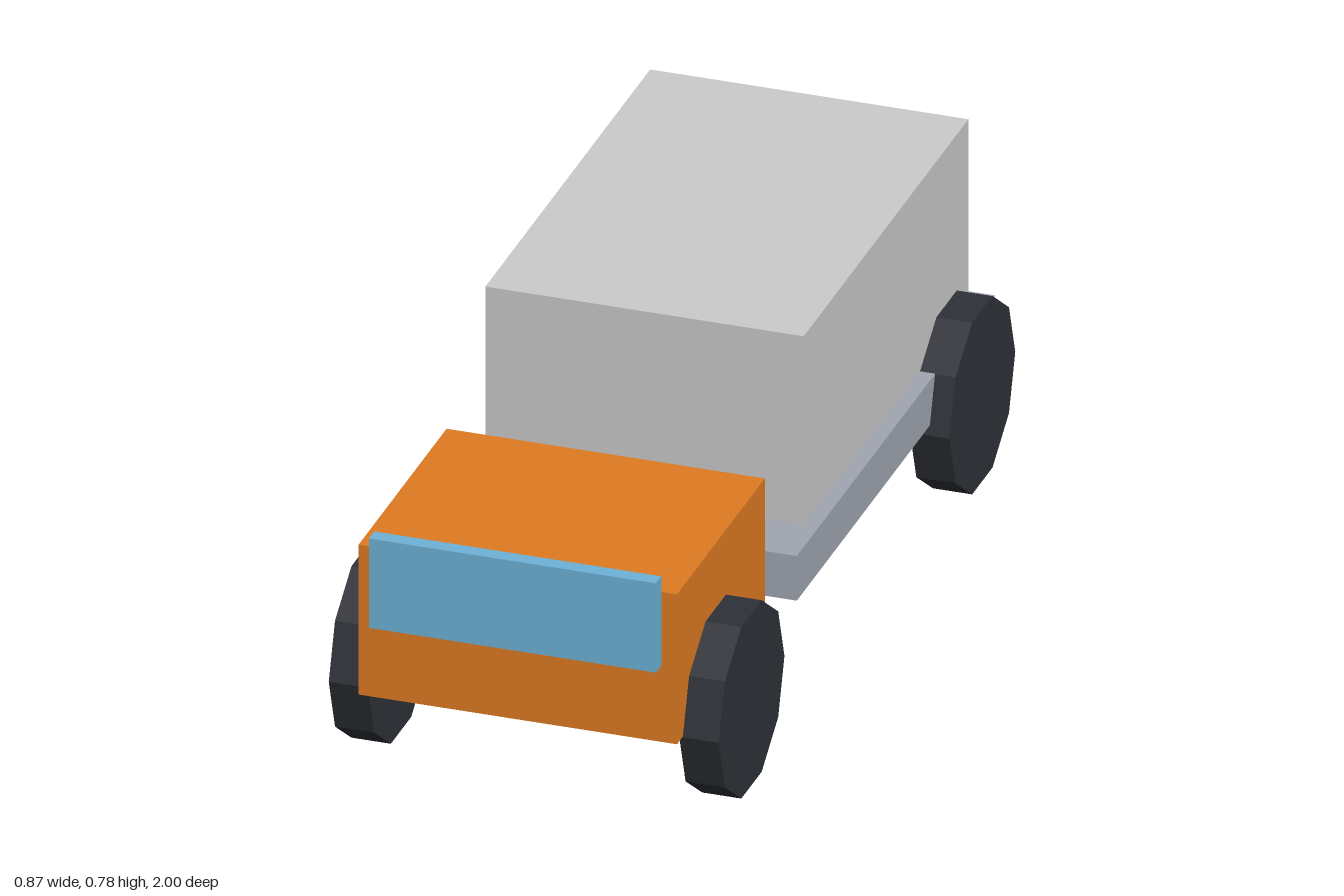
import * as THREE from 'three';

export function createModel() {
  const group = new THREE.Group();
  const paint = (color) => new THREE.MeshStandardMaterial({ color, flatShading: true });

  // Box given by its half width and its y and z ranges, centred on x
  const addBox = (name, color, halfWidth, [y0, y1], [z0, z1]) => {
    const mesh = new THREE.Mesh(new THREE.BoxGeometry(2 * halfWidth, y1 - y0, z1 - z0), paint(color));
    mesh.position.set(0, (y0 + y1) / 2, (z0 + z1) / 2);
    mesh.name = name;
    group.add(mesh);
  };

  addBox('chassis', 0xa0a6b2, 0.39, [0.224, 0.33], [-1, 0.285]);
  addBox('cargoBox', 0xd0d0d4, 0.356, [0.33, 0.777], [-0.928, 0.142]);
  addBox('cab', 0xe07b22, 0.356, [0.205, 0.561], [0.394, 0.965]);
  addBox('windscreen', 0x6fb3d9, 0.321, [0.386, 0.598], [0.965, 1]);

  // Ten-sided wheels resting on a flat side
  const radius = 0.214;
  const wheelGeometry = new THREE.CylinderGeometry(radius, radius, 0.088, 10).rotateZ(Math.PI / 2);
  const rubber = paint(0x2e3138);
  for (const [end, z] of [['front', 0.713], ['rear', -0.786]]) {
    for (const [side, sign] of [['Left', 1], ['Right', -1]]) {
      const wheel = new THREE.Mesh(wheelGeometry, rubber);
      wheel.position.set(sign * 0.392, radius * Math.cos(Math.PI / 10), z);
      wheel.name = `${end}${side}Wheel`;
      group.add(wheel);
    }
  }
  return group;
}
